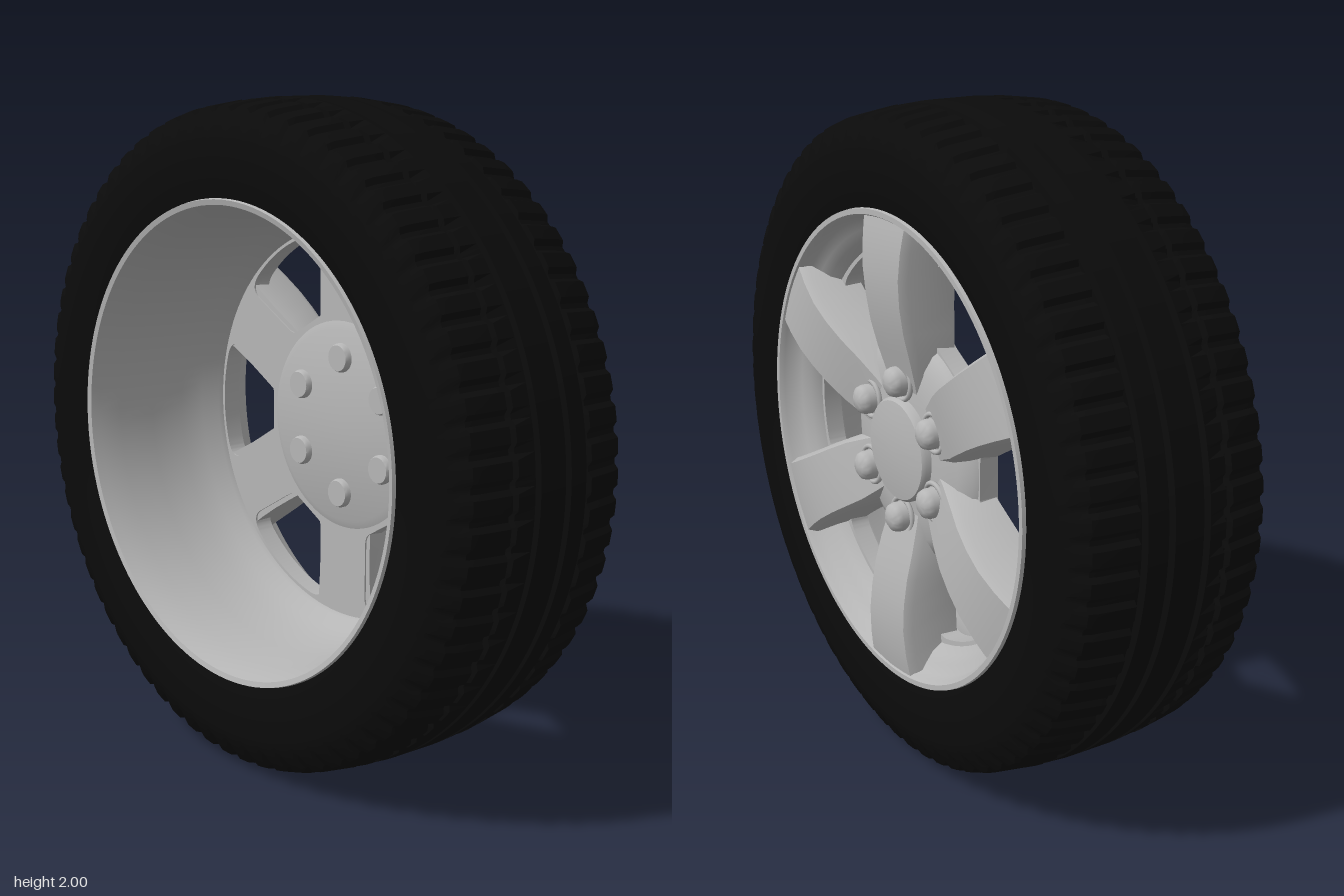
import * as THREE from 'three';
import { toCreasedNormals } from 'three/addons/utils/BufferGeometryUtils.js';

const rubber = new THREE.MeshStandardMaterial({ color: 0x0b0b0b });
rubber.name = 'black rubber';
const alloy = new THREE.MeshStandardMaterial({ color: 0xb6b6b6 });
alloy.name = 'silver alloy';

// Everything is built with the axle along z (outer face +z), then turned to +x.
function add(parent, name, geometry, material) {
  const mesh = new THREE.Mesh(geometry, material);
  mesh.name = name;
  parent.add(mesh);
  return mesh;
}

// Revolve [radius, z] points around the axle
function revolve(points, segments) {
  return new THREE.LatheGeometry(points.map(([r, z]) => new THREE.Vector2(r, z)), segments).rotateX(Math.PI / 2);
}

// Tyre: sidewalls, shoulders, four ring grooves and cross grooves
function tyreGeometry() {
  const profile = [[0.69, -0.28], [0.705, -0.308], [0.74, -0.318], [0.80, -0.325], [0.88, -0.324],
    [0.91, -0.317], [0.945, -0.302], [0.972, -0.285], [0.98, -0.26]];
  for (const z of [-0.152, -0.073, 0.043, 0.128]) {
    const r = 1 - 0.28 * z * z;
    profile.push([r, z - 0.011], [r - 0.022, z - 0.007], [r - 0.022, z + 0.007], [r, z + 0.011]);
  }
  profile.push([0.98, 0.25], [0.972, 0.275], [0.945, 0.292], [0.91, 0.307], [0.88, 0.314],
    [0.80, 0.315], [0.74, 0.31], [0.705, 0.30], [0.69, 0.28]);
  const geometry = revolve(profile, 420);
  const pos = geometry.attributes.position;
  const count = profile.length;
  for (let k = 0; k < pos.count; k++) {
    const [r, z] = profile[k % count];
    const step = Math.floor(k / count) % 6;
    const shoulder = Math.abs(z) > 0.135 && r > 0.94;
    if (shoulder && step < 2) {
      const s = (r - 0.013) / r;
      pos.setXYZ(k, pos.getX(k) * s, pos.getY(k) * s, pos.getZ(k));
    }
  }
  return toCreasedNormals(geometry, 0.5);
}

// Spoke: cross-sections lofted along +y as [radius, half width, base half width, top z]
function spokeGeometry() {
  const sections = [[0.15, 0.085, 0.10, 0.245], [0.22, 0.095, 0.11, 0.262], [0.30, 0.105, 0.117, 0.285],
    [0.38, 0.108, 0.116, 0.306], [0.46, 0.11, 0.116, 0.319], [0.54, 0.114, 0.12, 0.325],
    [0.62, 0.12, 0.127, 0.32], [0.67, 0.125, 0.137, 0.313], [0.705, 0.128, 0.142, 0.306]];
  const vertices = [];
  const index = [];
  const n = 7;
  sections.forEach(([r, w, base, top], s) => {
    const back = 0.15;
    const ring = [[-base, back], [-w, top - 0.025], [-w + 0.014, top], [0, top + 0.002],
      [w - 0.014, top], [w, top - 0.025], [base, back]];
    ring.forEach(([x, z]) => vertices.push(x, r, z));
    if (s === sections.length - 1) return;
    for (let i = 0; i < n; i++) {
      const a = s * n + i, b = s * n + (i + 1) % n;
      index.push(a, b, b + n, a, b + n, a + n);
    }
  });
  const geometry = new THREE.BufferGeometry();
  geometry.setAttribute('position', new THREE.Float32BufferAttribute(vertices, 3));
  geometry.setIndex(index);
  return toCreasedNormals(geometry, 0.5);
}

// Plate behind the spokes, with six rounded windows
function plateGeometry() {
  const shape = new THREE.Shape().absarc(0, 0, 0.635, 0, Math.PI * 2);
  for (let k = 0; k < 6; k++) {
    const c = Math.cos(k * Math.PI / 3), s = Math.sin(k * Math.PI / 3);
    const p = (x, y) => [x * c - y * s, x * s + y * c];
    const hole = new THREE.Path();
    hole.moveTo(...p(0.34, -0.06));
    hole.lineTo(...p(0.34, 0.06));
    hole.quadraticCurveTo(...p(0.34, 0.08), ...p(0.365, 0.095));
    hole.lineTo(...p(0.51, 0.18));
    hole.quadraticCurveTo(...p(0.555, 0.205), ...p(0.575, 0.15));
    hole.quadraticCurveTo(...p(0.62, 0), ...p(0.575, -0.15));
    hole.quadraticCurveTo(...p(0.555, -0.205), ...p(0.51, -0.18));
    hole.lineTo(...p(0.365, -0.095));
    hole.quadraticCurveTo(...p(0.34, -0.08), ...p(0.34, -0.06));
    shape.holes.push(hole);
  }
  const geometry = new THREE.ExtrudeGeometry(shape, { depth: 0.06, bevelEnabled: false, curveSegments: 16 });
  return toCreasedNormals(geometry.translate(0, 0, 0.145), 0.6);
}

export function createModel() {
  const model = new THREE.Group();
  model.name = 'wheel';
  const wheel = new THREE.Group();
  wheel.name = 'wheelAssembly';
  wheel.rotation.y = Math.PI / 2;
  wheel.position.y = 1;
  model.add(wheel);

  add(wheel, 'tyre', tyreGeometry(), rubber);

  // Rim: front lip, window ledge, open barrel and back lip
  const rim = [[0.70, 0.285], [0.718, 0.302], [0.716, 0.315], [0.70, 0.315], [0.69, 0.30], [0.682, 0.275],
    [0.655, 0.255], [0.63, 0.235], [0.607, 0.20], [0.60, 0.165], [0.612, 0.13], [0.635, 0.08], [0.655, 0.01],
    [0.668, -0.10], [0.676, -0.22], [0.69, -0.29], [0.698, -0.318], [0.714, -0.322], [0.72, -0.30]];
  add(wheel, 'rim', toCreasedNormals(revolve(rim, 128), 0.7), alloy);

  add(wheel, 'windowPlate', plateGeometry(), alloy);

  // Hub and centre cap
  const hub = [[0, 0.135], [0.30, 0.135], [0.335, 0.15], [0.34, 0.195], [0.325, 0.22], [0.28, 0.243],
    [0.20, 0.255], [0, 0.255]];
  add(wheel, 'hub', toCreasedNormals(revolve(hub, 72), 0.6), alloy);
  const cap = [[0.158, 0.22], [0.158, 0.272], [0.15, 0.283], [0.10, 0.291], [0, 0.295]];
  add(wheel, 'centreCap', toCreasedNormals(revolve(cap, 64), 0.7), alloy);

  // Six spokes, each with a domed nut in a raised seat
  const spoke = spokeGeometry();
  const nut = toCreasedNormals(revolve([[0, 0.115], [0.04, 0.115], [0.045, 0.125], [0.045, 0.285],
    [0.04, 0.30], [0.025, 0.31], [0, 0.314]], 24), 0.7);
  const seat = new THREE.TorusGeometry(0.056, 0.008, 8, 28);
  for (let k = 0; k < 6; k++) {
    const arm = new THREE.Group();
    arm.name = 'spokeArm';
    arm.rotation.z = k * Math.PI / 3;
    wheel.add(arm);
    add(arm, 'spoke', spoke, alloy);
    add(arm, 'wheelNut', nut, alloy).position.y = 0.212;
    add(arm, 'nutSeat', seat, alloy).position.set(0, 0.212, 0.262);
  }
  return model;
}
